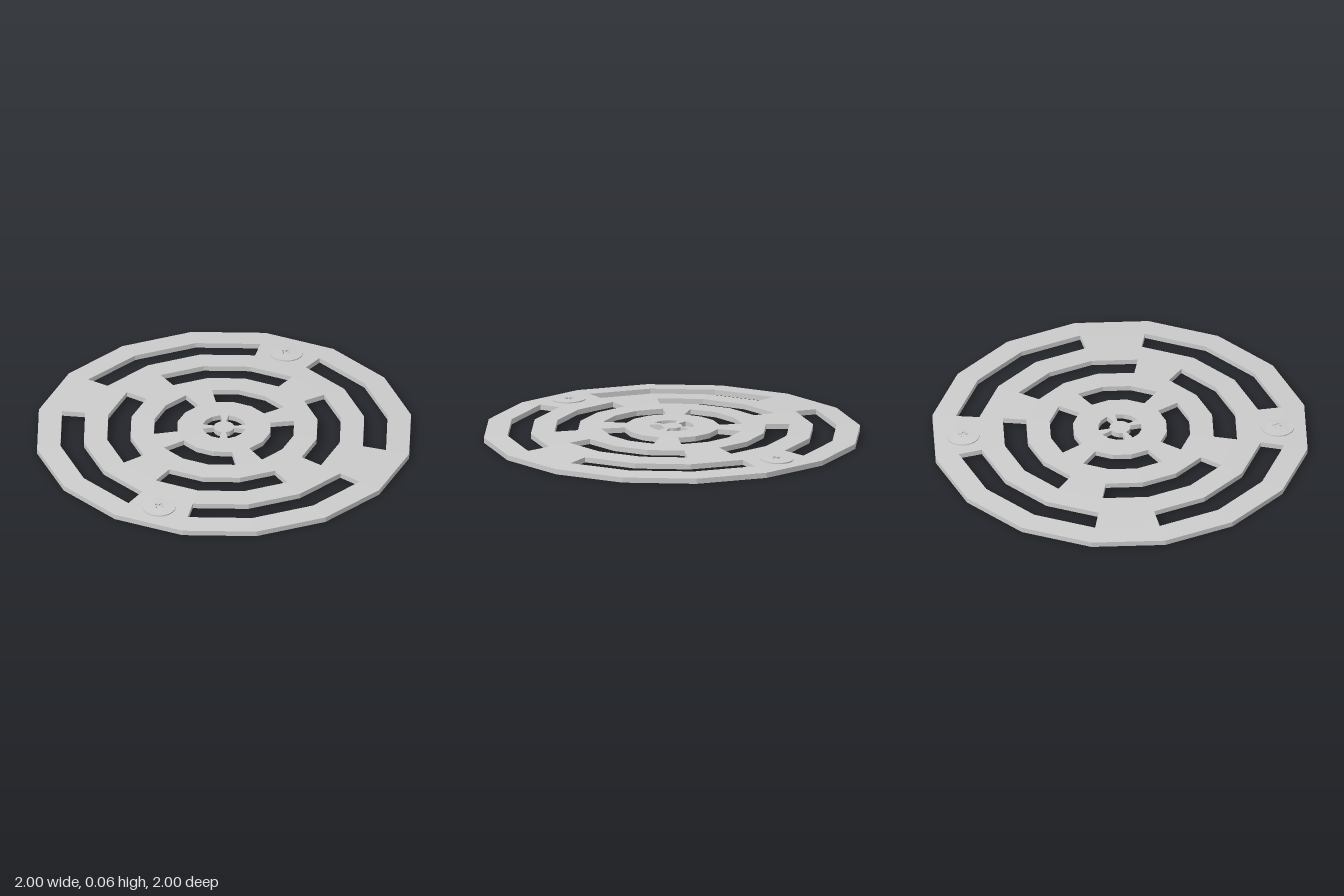
import * as THREE from 'three';

const SIDES = 16, THICK = 0.028;
const RADII = [0, 0.055, 0.115, 0.25, 0.375, 0.5, 0.625, 0.75, 0.875, 1];
// slotted rings: ring index -> the sector of every four left as a spoke
const SPOKE = { 1: 2, 3: 1, 5: 0, 7: 3 };

const domeY = (r) => 0.06 - 0.032 * r * r;
const isSolid = (ring, k) =>
  ring >= 0 && ring < RADII.length - 1 &&
  (SPOKE[ring] === undefined || (k + SIDES) % 4 === SPOKE[ring]);

// Domed plate: polar cells, with walls wherever a cell meets a slot or the rim
function plateGeometry() {
  const pos = [];
  const point = (i, k, drop) => {
    const r = RADII[i], a = (k / SIDES) * Math.PI * 2;
    return [r * Math.sin(a), domeY(r) - drop, -r * Math.cos(a)];
  };
  const tri = (a, b, c) => pos.push(...a, ...b, ...c);
  const quad = (a, b, c, d) => { tri(a, b, c); tri(a, c, d); };

  for (let i = 0; i < RADII.length - 1; i++) {
    for (let k = 0; k < SIDES; k++) {
      if (!isSolid(i, k)) continue;
      const corners = [[i, k], [i, k + 1], [i + 1, k + 1], [i + 1, k]];
      const top = corners.map(([r, s]) => point(r, s, 0));
      const low = corners.map(([r, s]) => point(r, s, THICK));
      if (i === 0) {
        tri(top[0], top[2], top[3]);
        tri(low[0], low[3], low[2]);
      } else {
        quad(...top);
        quad(low[3], low[2], low[1], low[0]);
      }
      // neighbours across the inner, next, outer and previous edges
      const neighbours = [[i - 1, k], [i, k + 1], [i + 1, k], [i, k - 1]];
      neighbours.forEach(([r, s], e) => {
        if ((i === 0 && e === 0) || isSolid(r, s)) return;
        const f = (e + 1) % 4;
        quad(top[e], low[e], low[f], top[f]);
      });
    }
  }
  const geo = new THREE.BufferGeometry();
  geo.setAttribute('position', new THREE.Float32BufferAttribute(pos, 3));
  geo.computeVertexNormals();
  return geo;
}

// Thin round screw head with a cross recess, bent to follow the dome
function screwGeometry(cx, cz) {
  const shape = new THREE.Shape().absarc(0, 0, 0.088, 0, Math.PI * 2, false);
  const L = 0.024, w = 0.008;
  const cross = [[w, L], [w, w], [L, w], [L, -w], [w, -w], [w, -L],
    [-w, -L], [-w, -w], [-L, -w], [-L, w], [-w, w], [-w, L]];
  shape.holes.push(new THREE.Path(cross.map(([x, y]) => new THREE.Vector2(x, y))));
  const geo = new THREE.ExtrudeGeometry(shape, { depth: 0.014, bevelEnabled: false, curveSegments: 16 });
  geo.rotateX(-Math.PI / 2);
  const p = geo.attributes.position;
  for (let i = 0; i < p.count; i++) {
    const x = p.getX(i), z = p.getZ(i);
    const crown = p.getY(i) > 0.007 ? 0.003 * (1 - Math.hypot(x, z) / 0.088) : 0;
    p.setXYZ(i, x + cx, p.getY(i) - 0.009 + crown + domeY(Math.hypot(x + cx, z + cz)), z + cz);
  }
  geo.computeVertexNormals();
  return geo;
}

export function createModel() {
  const group = new THREE.Group();
  group.name = 'drainCover';
  const material = new THREE.MeshStandardMaterial({ color: 0xcccccc, flatShading: true });
  const add = (name, geometry) => {
    const mesh = new THREE.Mesh(geometry, material);
    mesh.name = name;
    group.add(mesh);
  };

  add('slottedPlate', plateGeometry());
  add('backScrew', screwGeometry(-0.17, -0.81));
  add('frontScrew', screwGeometry(0.157, 0.815));
  return group;
}
